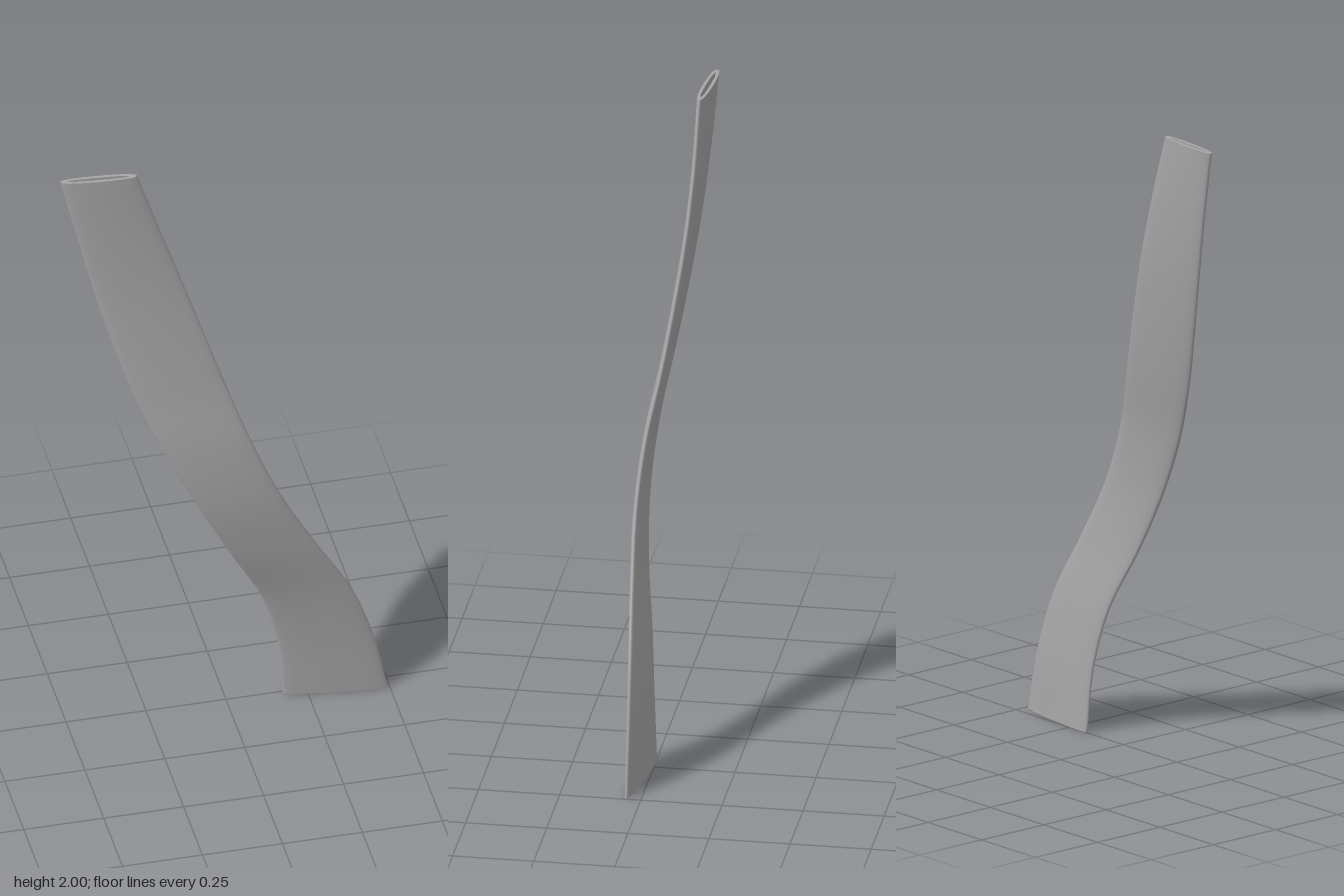
import * as THREE from 'three';

const SIDES = 48, STEPS = 60;

// Edge lines of the flat duct, one station every 0.2 units of height: [x, z]
const leftEdge = [[0.175, 0.006], [0.159, 0.016], [0.103, 0.032], [0.0, 0.061], [-0.102, 0.071], [-0.2, 0.055],
  [-0.285, 0.02], [-0.35, -0.014], [-0.405, -0.042], [-0.453, -0.062], [-0.5, -0.077]];
const rightEdge = [[0.495, 0.046], [0.451, 0.047], [0.38, 0.053], [0.266, 0.065], [0.158, 0.071], [0.072, 0.055],
  [0.0, 0.018], [-0.066, -0.013], [-0.132, -0.038], [-0.199, -0.052], [-0.265, -0.057]];

const edgeCurve = (pts) => new THREE.CatmullRomCurve3(
  pts.map(([x, z], i) => new THREE.Vector3(x, i * 0.2, z)), false, 'catmullrom', 0.5);
const left = edgeCurve(leftEdge), right = edgeCurve(rightEdge);

// Flattened oval across the two edge lines, shrunk by an inset for the bore
function ring(t, inset) {
  const a = left.getPoint(t), b = right.getPoint(t);
  const mid = a.clone().add(b).multiplyScalar(0.5);
  const half = b.clone().sub(a).multiplyScalar(0.5);
  const scale = 1 - inset / half.x;
  const thick = 0.016 - inset * 0.4;
  const pts = [];
  for (let j = 0; j < SIDES; j++) {
    const ang = (j / SIDES) * Math.PI * 2, c = Math.cos(ang), s = Math.sin(ang);
    const u = Math.sign(c) * Math.pow(Math.abs(c), 0.9) * scale;
    const w = Math.sign(s) * Math.pow(Math.abs(s), 0.8) * thick;
    pts.push([mid.x + half.x * u, 2 * t, mid.z + half.z * u + w]);
  }
  return pts;
}

// Joins successive closed rings with a smooth skin
function skin(rings) {
  const index = [];
  for (let i = 0; i < rings.length - 1; i++) {
    for (let j = 0; j < SIDES; j++) {
      const k = (j + 1) % SIDES;
      const a = i * SIDES + j, b = i * SIDES + k, c = a + SIDES, d = b + SIDES;
      index.push(a, c, b, b, c, d);
    }
  }
  const geo = new THREE.BufferGeometry();
  geo.setAttribute('position', new THREE.Float32BufferAttribute(rings.flat(2), 3));
  geo.setIndex(index);
  geo.computeVertexNormals();
  return geo;
}

export function createModel() {
  const group = new THREE.Group();
  group.name = 'curvedFlatDuct';
  const grey = new THREE.MeshStandardMaterial({ color: 0xa6a6a6 });
  grey.name = 'grey';
  const add = (name, rings) => {
    const mesh = new THREE.Mesh(skin(rings), grey);
    mesh.name = name;
    group.add(mesh);
  };

  const WALL = 0.024;
  const outer = [], inner = [];
  for (let i = 0; i <= STEPS; i++) {
    outer.push(ring(i / STEPS, 0));
    inner.push(ring(i / STEPS, WALL));
  }

  // Outer shell, hollow bore and the two end rims
  add('outerShell', outer);
  add('innerBore', inner.slice().reverse());
  add('topRim', [outer[STEPS], inner[STEPS]]);
  add('bottomRim', [inner[0], outer[0]]);
  return group;
}
